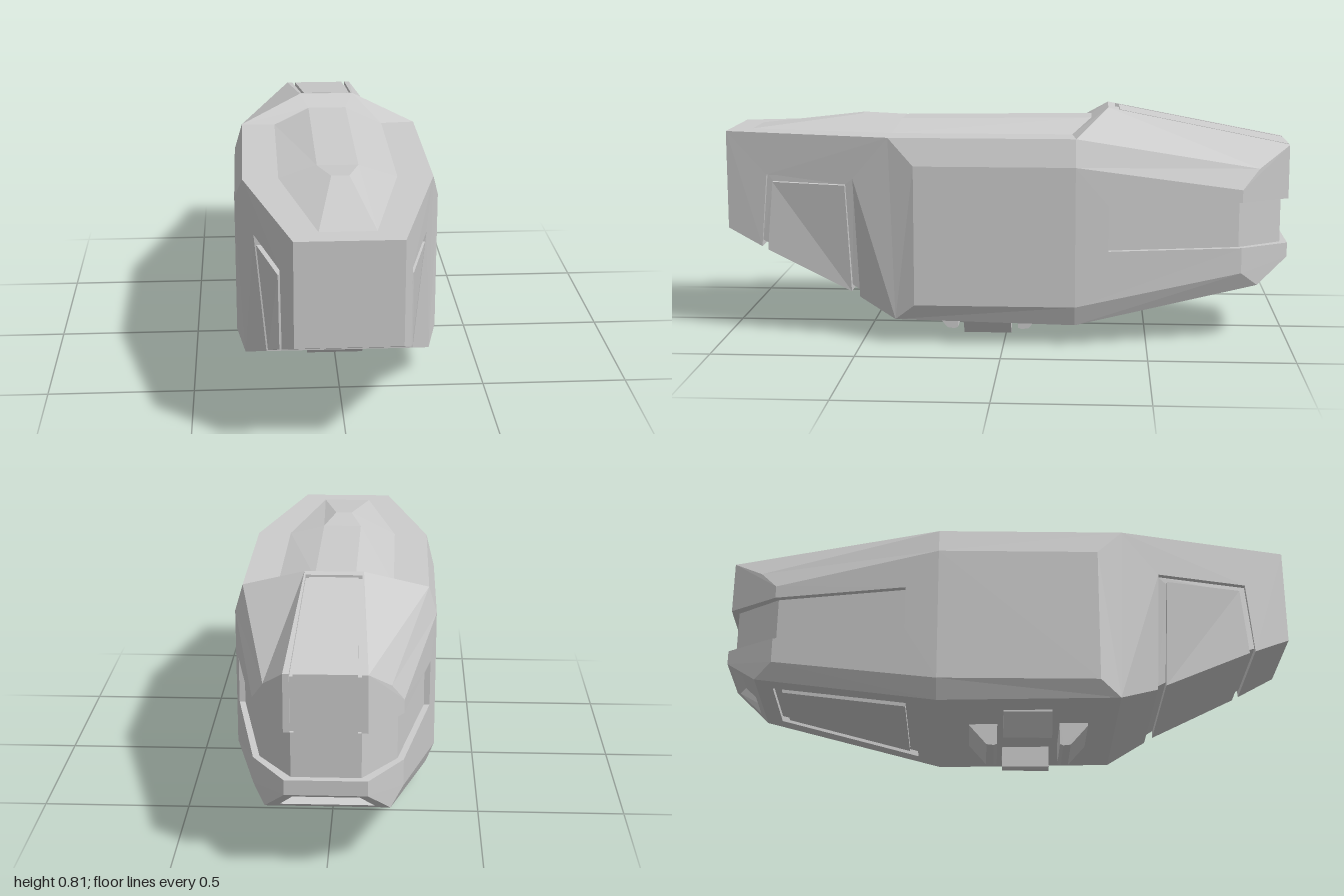
import * as THREE from 'three';

const material = new THREE.MeshStandardMaterial({ color: 0xcccccc, flatShading: true, side: THREE.DoubleSide });
const mirror = ([x, y, z]) => [-x, y, z];
// closes a half outline across the centre plane
const span = (...half) => [...half, ...half.map(mirror).reverse()];

function triangles(list) {
  const geo = new THREE.BufferGeometry();
  geo.setAttribute('position', new THREE.Float32BufferAttribute(list.flat(2), 3));
  geo.computeVertexNormals();
  return geo;
}

// polygon facet with optional hole, turned to face away from the hull axis
function facet(points, hole) {
  const all = hole ? [...points, ...hole] : points;
  const n = [0, 0, 0];
  points.forEach((p, i) => {
    const q = points[(i + 1) % points.length];
    for (let a = 0; a < 3; a++) {
      const b = (a + 1) % 3, c = (a + 2) % 3;
      n[a] += (p[b] - q[b]) * (p[c] + q[c]);
    }
  });
  const size = n.map(Math.abs);
  const drop = size.indexOf(Math.max(...size));
  const flat = (p) => new THREE.Vector2(p[(drop + 1) % 3], p[(drop + 2) % 3]);
  const faces = THREE.ShapeUtils.triangulateShape(points.map(flat), hole ? [hole.map(flat)] : []);
  return triangles(faces.map((f) => {
    const [a, b, c] = f.map((i) => new THREE.Vector3(...all[i]));
    const normal = b.clone().sub(a).cross(c.clone().sub(a));
    const mid = a.clone().add(b).add(c).divideScalar(3);
    const out = new THREE.Vector3(mid.x, mid.y - 0.4, mid.z * 0.3);
    const order = normal.dot(out) < 0 ? [f[0], f[2], f[1]] : f;
    return order.map((i) => all[i]);
  }));
}

// quads between successive polylines of equal length
function strips(rails, closed) {
  const list = [];
  for (let r = 0; r < rails.length - 1; r++) {
    const a = rails[r], b = rails[r + 1], n = a.length;
    for (let i = 0; i < (closed ? n : n - 1); i++) {
      const j = (i + 1) % n;
      list.push([a[i], a[j], b[j]], [a[i], b[j], b[i]]);
    }
  }
  return triangles(list);
}

export function createModel() {
  const model = new THREE.Group();
  const part = (name) => {
    const group = new THREE.Group();
    group.name = name;
    model.add(group);
    const add = (geo) => {
      const mesh = new THREE.Mesh(geo, material);
      mesh.name = name;
      group.add(mesh);
    };
    return {
      add,
      one: (points, hole) => add(facet(points, hole)),
      both: (...points) => { add(facet(points)); add(facet(points.map(mirror))); },
    };
  };

  // hull stations: nose f, front shoulder g, rear shoulder s, tail corner t, tail end u
  const f1 = [0.17, 0.73, 1], f2 = [0.17, 0.38, 1];
  const g1 = [0.322, 0.73, 0.4], g2 = [0.35, 0.635, 0.31], g5 = [0.35, 0.145, 0.31], g6 = [0.322, 0.088, 0.38];
  const s1 = [0.322, 0.73, -0.25], s2 = [0.35, 0.635, -0.25], s5 = [0.35, 0.145, -0.25], s6 = [0.322, 0.075, -0.25];
  const t1 = [0.2, 0.615, -0.89], t2 = [0.24, 0.545, -0.83], t3 = [0.24, 0.5, -0.83];
  const t4 = [0.24, 0.34, -0.83], t5 = [0.24, 0.25, -0.83], t6 = [0.2, 0.2, -0.89];
  const u1 = [0.13, 0.69, -1], u3 = [0.13, 0.5, -1], u4 = [0.13, 0.34, -1], u5 = [0.13, 0.29, -1];
  const b3 = [0.329, 0.5, -0.365], b4 = [0.329, 0.34, -0.365];

  // groove round the nose panels: o outer rim, i inner rim
  const o = [[0.205, 0.32, 0.872], [0.208, 0.58, 0.85], [0.287, 0.58, 0.53], [0.25, 0.15, 0.515]];
  const i = [[0.212, 0.31, 0.85], [0.214, 0.555, 0.828], [0.279, 0.555, 0.56], [0.245, 0.168, 0.545]];

  const nose = part('nose');
  nose.one(span(f1, f2));
  nose.both(f1, f2, ...o, g6, g1);
  nose.one(span(f2, o[0]));
  nose.one(span(o[3], g6));

  const nosePanels = part('nosePanels');
  nosePanels.both(...i);
  nosePanels.one(span(i[0], i[3]));
  const sinkNose = ([x, y, z]) => [x - 0.02 * Math.sign(x), y < 0.5 ? y + 0.02 : y, z];
  const oRing = span(...o), iRing = span(...i);
  part('noseGroove').add(strips([oRing, oRing.map(sinkNose), iRing.map(sinkNose), iRing], true));

  const body = part('body');
  body.both(g1, g2, g5, g6);
  body.both(g1, g2, s2, s1);
  body.both(g2, s2, s5, g5);
  body.both(g5, s5, s6, g6);
  body.one(span(g6, s6));
  body.one(span(f1, g1, s1));

  // raised spine on the deck
  const d0 = [0.09, 0.73, 0.92], d1 = [0.2, 0.731, 0.4], d2 = [0.2, 0.731, -0.235];
  const e0 = [0.03, 0.78, 0.53], e1 = [0.07, 0.768, 0.38], e2 = [0.07, 0.776, -0.3];
  const spine = part('spine');
  spine.one(span(d0, e0));
  spine.one(span(e0, e1));
  spine.one(span(e1, e2));
  spine.both(d0, d1, e1, e0);
  spine.both(d1, d2, e2, e1);

  // rear hump and tail with openings for panels and band
  const h = [0.1, 0.815, -0.36];
  const po = [[0.11, 0.5, -1], [0.11, 0.69, -1], [0.095, 0.81, -0.385]];
  const pi = [[0.098, 0.5, -1], [0.098, 0.69, -1], [0.083, 0.807, -0.4]];
  const tailBox = span([0.105, 0.278, -0.985], [0.15, 0.216, -0.91]);
  const bellyY = (z) => 0.075 + (-0.25 - z) * 0.195;
  const bellyOuter = span([0.25, bellyY(-0.33), -0.33], [0.15, bellyY(-0.83), -0.83]);
  const bellyInner = span([0.212, bellyY(-0.36), -0.36], [0.127, bellyY(-0.8), -0.8]);
  const tail = part('tail');
  tail.both(s1, d2, e2, h);
  tail.one(span(e2, h));
  tail.both(s1, h, u1, t1);
  tail.both(h, u1, po[1], po[2]);
  tail.one(span(h, po[2]));
  tail.both(u1, u3, po[0], po[1]);
  tail.both(s1, t1, t2, s2);
  tail.both(s2, t2, t3, b3, b4, t4, t5, s5);
  tail.both(s5, t5, t6, s6);
  tail.both(t1, u1, u3, t3, t2);
  tail.both(t4, u4, u5, t5);
  tail.both(t5, u5, t6);
  tail.one(span(u4, u5));
  tail.one(span(u5, t6), tailBox);
  tail.one(span(s6, t6), bellyOuter);

  // spine panel running over the tail and down its end
  const spinePanel = part('tailTopPanel');
  spinePanel.one(span(pi[2], pi[1]));
  spinePanel.one(span(pi[1], pi[0]));
  const sinkTop = ([x, y, z]) => [x, y > 0.6 ? y - 0.012 : y, z < -0.9 ? z + 0.012 : z];
  const pO = span(...po), pI = span(...pi);
  part('tailTopGroove').add(strips([pO, pO.map(sinkTop), pI.map(sinkTop), pI]));

  // recessed band wrapping round the tail
  const sinkBand = ([x, y, z]) => [x - 0.02 * Math.sign(x), y, z < -0.9 ? z + 0.025 : z < -0.5 ? z + 0.01 : z];
  const top = span(b3, t3, u3), low = span(b4, t4, u4);
  const band = part('tailBand');
  band.add(strips([top, top.map(sinkBand), low.map(sinkBand), low]));
  band.both(b3, sinkBand(b3), sinkBand(b4), b4);

  // recess in the lower tail
  const sinkBox = ([x, y, z]) => [x * 0.95, y + 0.02, z + 0.02];
  const recess = part('tailRecess');
  recess.add(strips([tailBox, tailBox.map(sinkBox)], true));
  recess.one(tailBox.map(sinkBox));

  // belly hatch with its groove
  const sinkBelly = ([x, y, z]) => [x, y + 0.02, z];
  part('bellyGroove').add(strips([bellyOuter, bellyOuter.map(sinkBelly), bellyInner.map(sinkBelly), bellyInner], true));
  part('bellyHatch').one(bellyInner);

  // four wedge feet around one centre
  const feet = new THREE.Group();
  feet.name = 'feet';
  feet.position.z = 0.065;
  model.add(feet);
  [[0.115, 0.2], [0.125, 0.17], [0.105, 0.2], [0.125, 0.17]].forEach(([inner, width], k) => {
    const profile = new THREE.Shape([[0, 0.1], [0, 0.005], [0.012, 0], [0.038, 0.003], [0.1, 0.075], [0.1, 0.1]]
      .map(([x, y]) => new THREE.Vector2(inner + x, y)));
    const geo = new THREE.ExtrudeGeometry(profile, { depth: width, bevelEnabled: false });
    geo.translate(0, 0, -width / 2);
    const foot = new THREE.Mesh(geo, material);
    foot.name = 'foot';
    foot.rotation.y = (k - 1) * Math.PI / 2;
    feet.add(foot);
  });

  return model;
}
